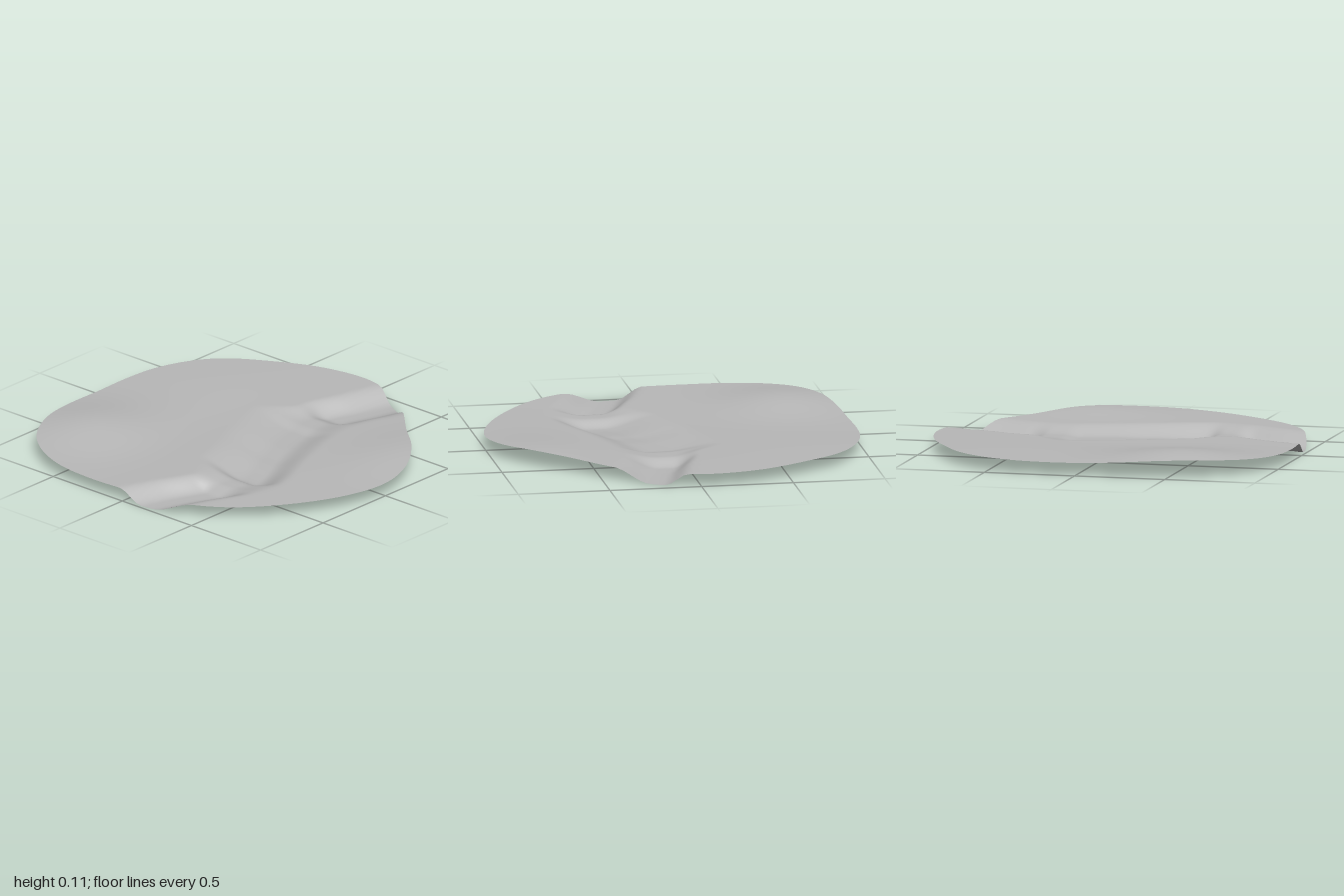
import * as THREE from 'three';

// Smooth piecewise interpolation through [position, value] stops
function ramp(stops, t) {
  if (t <= stops[0][0]) return stops[0][1];
  for (let i = 1; i < stops.length; i++) {
    const [a, va] = stops[i - 1], [b, vb] = stops[i];
    if (t <= b) return va + (vb - va) * THREE.MathUtils.smoothstep(t, a, b);
  }
  return stops[stops.length - 1][1];
}

const hill = (x, z, cx, cz, rx, rz, h) =>
  h * Math.exp(-(((x - cx) / rx) ** 2) - ((z - cz) / rz) ** 2);

// Stream bed: centre line, floor height and bank widths along z
const bedPath = new THREE.SplineCurve([
  [0.26, -1], [0.19, -0.75], [0.12, -0.53], [0.13, -0.3], [0.22, 0],
  [0.32, 0.25], [0.36, 0.42], [0.32, 0.6], [0.23, 0.8], [0.16, 1],
].map(([x, z]) => new THREE.Vector2(x, z)));
const bedPoints = bedPath.getPoints(120);
const bedCentre = (z) => {
  for (let i = 1; i < bedPoints.length; i++) {
    const a = bedPoints[i - 1], b = bedPoints[i];
    if (z <= b.y) return a.x + (b.x - a.x) * THREE.MathUtils.clamp((z - a.y) / (b.y - a.y), 0, 1);
  }
  return bedPoints[bedPoints.length - 1].x;
};
const bedFloor = [
  [-0.57, 0], [-0.45, 0.036], [-0.36, 0.036], [-0.27, 0.022], [-0.1, 0.022],
  [0.1, 0.014], [0.34, 0], [0.36, 0], [0.45, 0.036], [0.54, 0.036], [0.62, 0],
];
const westBank = [[-0.5, 0.14], [-0.3, 0.32], [0.35, 0.32], [0.6, 0.14]];

function height(x, z) {
  const ground = 0.068
    + hill(x, z, -0.7, 0.5, 0.32, 0.34, 0.046)
    + hill(x, z, 0.78, -0.38, 0.28, 0.4, 0.026)
    + hill(x, z, -0.6, -0.5, 0.35, 0.35, 0.007)
    - hill(x, z, -0.25, 0.25, 0.25, 0.6, 0.008);
  const d = x - bedCentre(z);
  const bank = d < 0
    ? THREE.MathUtils.smoothstep(-d, 0.05, 0.05 + ramp(westBank, z))
    : THREE.MathUtils.smoothstep(d, 0.03, 0.24);
  return THREE.MathUtils.lerp(ramp(bedFloor, z), ground, bank);
}

export function createModel() {
  const group = new THREE.Group();
  group.name = 'terrainPatch';

  // Rounded, irregular rim
  const rim = new THREE.CatmullRomCurve3([
    [-0.08, -1], [0.08, -0.98], [0.22, -0.92], [0.39, -0.81], [0.6, -0.61],
    [0.8, -0.43], [0.94, -0.23], [1, 0], [0.95, 0.26], [0.8, 0.55],
    [0.6, 0.79], [0.4, 0.915], [0.2, 0.97], [0, 0.99], [-0.25, 1],
    [-0.47, 0.98], [-0.66, 0.91], [-0.81, 0.79], [-0.92, 0.59], [-0.97, 0.35],
    [-0.99, 0.1], [-1, -0.13], [-0.98, -0.34], [-0.91, -0.53], [-0.8, -0.68],
    [-0.6, -0.82], [-0.34, -0.95],
  ].map(([x, z]) => new THREE.Vector3(x, 0, z)), true);

  // Rings from the centre to the rim, lifted by the height rule
  const sides = 180, rings = 60;
  const outline = rim.getSpacedPoints(sides).slice(0, sides);
  const positions = [0, height(0, 0), 0], index = [];
  for (let r = 1; r <= rings; r++) {
    for (const p of outline) {
      const x = p.x * r / rings, z = p.z * r / rings;
      positions.push(x, height(x, z), z);
    }
  }
  const id = (r, s) => (r === 0 ? 0 : 1 + (r - 1) * sides + (s % sides));
  for (let r = 0; r < rings; r++) {
    for (let s = 0; s < sides; s++) {
      const a = id(r, s), b = id(r, s + 1), c = id(r + 1, s), d = id(r + 1, s + 1);
      index.push(a, d, c);
      if (r > 0) index.push(a, b, d);
    }
  }
  const geometry = new THREE.BufferGeometry();
  geometry.setAttribute('position', new THREE.Float32BufferAttribute(positions, 3));
  geometry.setIndex(index);
  geometry.computeVertexNormals();

  const material = new THREE.MeshStandardMaterial({ color: 0xb8b8b8, side: THREE.DoubleSide });
  material.name = 'groundGrey';
  const ground = new THREE.Mesh(geometry, material);
  ground.name = 'groundSurface';
  group.add(ground);
  return group;
}
